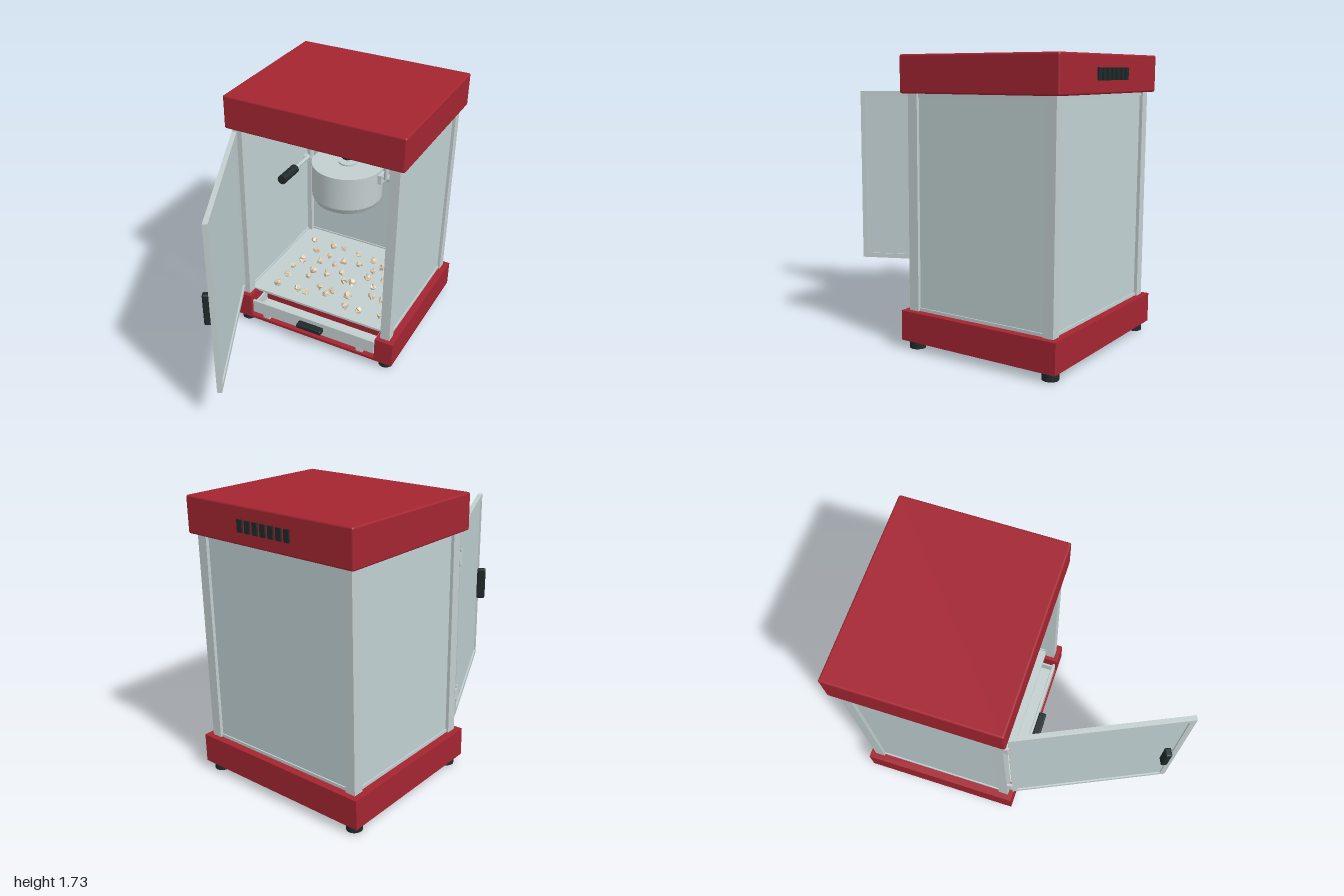
import * as THREE from 'three';
import { RoundedBoxGeometry } from 'three/addons/geometries/RoundedBoxGeometry.js';

const mat = (name, color, extra = {}) => {
  const m = new THREE.MeshStandardMaterial({ color, ...extra });
  m.name = name;
  return m;
};

export function createModel() {
  const root = new THREE.Group();
  root.name = 'popcornMachine';
  const red = mat('red enamel', 0xa32531);
  const steel = mat('steel', 0xc2cecf);
  const glass = mat('glass', 0xc0d0d2);
  const black = mat('black plastic', 0x1f292a);
  const cream = mat('warm cream', 0xe3d1b5);
  const corn = mat('popcorn', 0xdccdb2, { flatShading: true });

  const add = (name, geo, m, x = 0, y = 0, z = 0, parent = root) => {
    const mesh = new THREE.Mesh(geo, m);
    mesh.name = name;
    mesh.position.set(x, y, z);
    parent.add(mesh);
    return mesh;
  };
  // Box given by its limits on each axis
  const box = (name, m, [x0, x1], [y0, y1], [z0, z1], parent = root, r = 0) => {
    const d = [x1 - x0, y1 - y0, z1 - z0];
    const geo = r ? new RoundedBoxGeometry(...d, 2, r) : new THREE.BoxGeometry(...d);
    return add(name, geo, m, (x0 + x1) / 2, (y0 + y1) / 2, (z0 + z1) / 2, parent);
  };
  const cyl = (name, m, r, h, x, y, z, parent = root, axis = 'y', sides = 24) => {
    const geo = new THREE.CylinderGeometry(r, r, h, sides);
    if (axis === 'x') geo.rotateZ(Math.PI / 2);
    if (axis === 'z') geo.rotateX(Math.PI / 2);
    return add(name, geo, m, x, y, z, parent);
  };

  // Roof and back vents
  box('roof', red, [-0.603, 0.603], [1.505, 1.725], [-0.99, 0.047], root, 0.012);
  for (let i = -3; i <= 3; i++) {
    box('ventSlot', black, [i * 0.057 - 0.018, i * 0.057 + 0.018], [1.58, 1.65], [-1, -0.985]);
  }

  // Base with a drawer notch in the front
  const plan = new THREE.Shape();
  [[-0.603, -0.047], [-0.475, -0.047], [-0.475, 0.14], [0.475, 0.14], [0.475, -0.047],
    [0.603, -0.047], [0.603, 0.99], [-0.603, 0.99]]
    .forEach(([x, y], i) => (i ? plan.lineTo(x, y) : plan.moveTo(x, y)));
  const baseGeo = new THREE.ExtrudeGeometry(plan, { depth: 0.18, bevelEnabled: false });
  baseGeo.rotateX(-Math.PI / 2);
  add('base', baseGeo, red, 0, 0.05, 0);
  box('baseSill', red, [-0.475, 0.475], [0.05, 0.07], [-0.14, 0.047]);
  box('floorTray', steel, [-0.535, 0.535], [0.222, 0.238], [-0.94, -0.05]);

  // Feet
  for (const x of [-0.535, 0.535]) {
    for (const z of [-0.02, -0.925]) cyl('foot', black, 0.048, 0.055, x, 0.0275, z);
  }

  // Crumb drawer, open on top
  const drawer = new THREE.Group();
  drawer.name = 'drawer';
  root.add(drawer);
  box('drawerFront', steel, [-0.468, 0.468], [0.093, 0.195], [0.018, 0.036], drawer, 0.004);
  box('drawerBottom', steel, [-0.455, 0.455], [0.093, 0.103], [-0.13, 0.02], drawer);
  for (const s of [-1, 1]) {
    box('drawerSide', steel, [s * 0.455 - 0.006, s * 0.455 + 0.006], [0.093, 0.175], [-0.13, 0.02], drawer);
    box('drawerRunner', steel, [s * 0.36 - 0.025, s * 0.36 + 0.025], [0.07, 0.093], [-0.13, 0.035], drawer);
  }
  box('drawerHandle', black, [-0.094, 0.094], [0.132, 0.166], [0.034, 0.088], drawer, 0.01);

  // Corner posts
  for (const s of [-1, 1]) {
    for (const z of [-0.0175, -0.9225]) {
      box('cornerPost', steel, [s * 0.5325 - 0.0325, s * 0.5325 + 0.0325], [0.23, 1.506],
        [z - 0.0325, z + 0.0325]);
    }
    // Side glass and rails
    box('sideGlass', glass, [s * 0.54 - 0.005, s * 0.54 + 0.005], [0.235, 1.5], [-0.895, -0.045]);
    for (const y of [0.238, 1.494]) {
      box('sideRail', steel, [s * 0.54 - 0.013, s * 0.54 + 0.013], [y - 0.011, y + 0.011], [-0.895, -0.045]);
    }
  }
  // Back glass and rails
  box('backGlass', glass, [-0.505, 0.505], [0.235, 1.5], [-0.935, -0.925]);
  for (const y of [0.238, 1.494]) {
    box('backRail', steel, [-0.505, 0.505], [y - 0.011, y + 0.011], [-0.943, -0.917]);
  }

  // Open door, hinged at its right edge as seen by the machine
  const door = new THREE.Group();
  door.name = 'door';
  door.position.set(-0.55, 0, 0.045);
  door.rotation.y = -1.14;
  root.add(door);
  const L = 1.045;
  for (const x of [0, L - 0.036]) box('doorStile', steel, [x, x + 0.036], [0.303, 1.495], [-0.03, 0], door);
  for (const y of [0.303, 1.463]) box('doorRail', steel, [0.036, L - 0.036], [y, y + 0.032], [-0.03, 0], door);
  box('doorGlass', glass, [0.03, L - 0.03], [0.33, 1.47], [-0.02, -0.01], door);
  box('doorHandle', black, [0.94, 0.982], [0.765, 0.98], [-0.002, 0.054], door, 0.01);

  // Hinges
  for (const y of [0.465, 1.333]) {
    cyl('hingePin', steel, 0.009, 0.105, -0.557, y, 0.042, root, 'y', 12);
    box('hingeLeaf', steel, [-0.566, -0.55], [y - 0.035, y + 0.035], [0.01, 0.042]);
  }

  // Kettle
  const kettle = new THREE.Group();
  kettle.name = 'kettle';
  kettle.position.set(0, 0, -0.47);
  root.add(kettle);
  const pts = [[0, 0.905], [0.214, 0.905], [0.214, 0.905], [0.235, 0.945], [0.235, 0.945],
    [0.235, 1.165], [0.235, 1.165], [0, 1.165]].map(([x, y]) => new THREE.Vector2(x, y));
  add('kettleBody', new THREE.LatheGeometry(pts, 40), steel, 0, 0, 0, kettle);
  cyl('kettleLid', steel, 0.239, 0.014, 0, 1.168, 0, kettle, 'y', 40);
  cyl('lidBoss', steel, 0.062, 0.012, 0, 1.18, 0, kettle);
  cyl('knobStem', steel, 0.013, 0.04, 0, 1.2, 0, kettle, 'y', 16);
  cyl('lidKnob', black, 0.04, 0.035, 0, 1.227, 0, kettle);

  // Kettle pivots and hanger rods
  for (const s of [-1, 1]) {
    box('pivotBracket', steel, [s * 0.244 - 0.014, s * 0.244 + 0.014], [1.09, 1.152], [-0.035, 0.035], kettle);
    cyl('pivotPin', steel, 0.012, 0.09, s * 0.277, 1.13, 0, kettle, 'x', 16);
    cyl('pivotCollar', steel, 0.024, 0.03, s * 0.306, 1.132, 0, kettle, 'x', 16);
    cyl('hangerRod', steel, 0.015, 0.39, s * 0.278, 1.315, 0, kettle, 'y', 16);
  }
  // Tilting handle
  cyl('tiltRod', steel, 0.012, 0.22, -0.285, 1.15, 0.1, kettle, 'z', 16);
  cyl('tiltGrip', black, 0.03, 0.17, -0.285, 1.15, 0.29, kettle, 'z');

  // Lamp
  cyl('lampSocket', black, 0.051, 0.15, 0.363, 1.435, -0.47);
  const bulb = add('lampBulb', new THREE.SphereGeometry(0.071, 28, 18), cream, 0.363, 1.296, -0.47);
  bulb.scale.y = 1.14;

  // Scattered popcorn
  let seed = 11;
  const rnd = () => (seed = (seed * 16807) % 2147483647) / 2147483647;
  const piece = new THREE.DodecahedronGeometry(0.024, 0);
  const p = piece.attributes.position;
  for (let i = 0; i < p.count; i++) {
    const x = p.getX(i), y = p.getY(i), z = p.getZ(i);
    const k = 1 + 0.32 * Math.sin(x * 190 + y * 130 + z * 250);
    p.setXYZ(i, x * k, y * k, z * k);
  }
  piece.computeVertexNormals();
  for (let i = 0; i < 42; i++) {
    const x = -0.42 + ((i % 7) + 0.15 + 0.7 * rnd()) * 0.122;
    const z = -0.8 + (Math.floor(i / 7) + 0.15 + 0.7 * rnd()) * 0.115;
    const m = add('popcornPiece', piece, corn, x, 0.261, z);
    m.rotation.set(rnd() * 6, rnd() * 6, rnd() * 6);
    m.scale.setScalar(0.8 + 0.35 * rnd());
  }
  return root;
}
